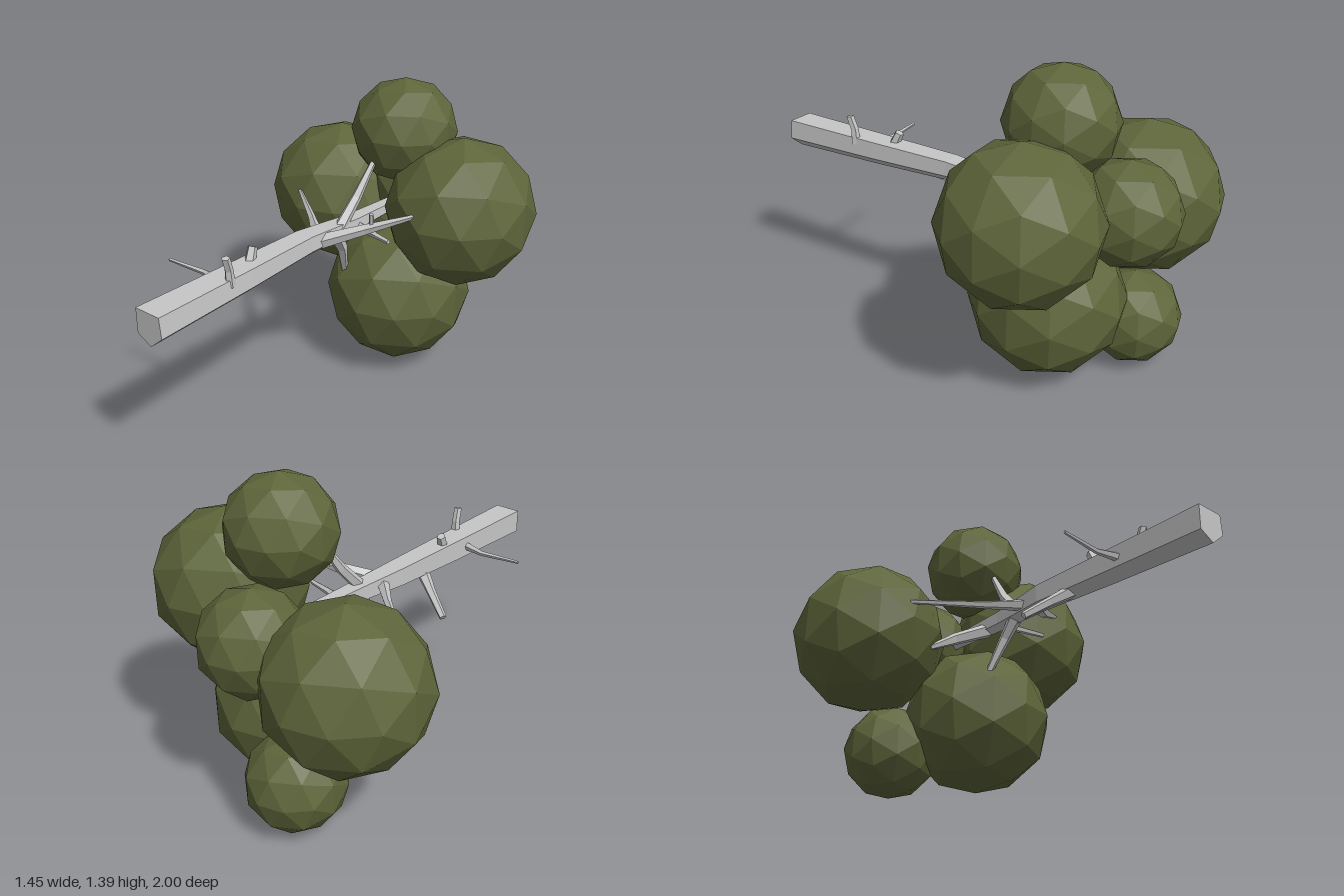
import * as THREE from 'three';

const V = (p) => new THREE.Vector3(...p);

// Faceted limb: one cross-section swept along points, scaled at each point
function loft(path, scales, ring) {
  const pts = path.map(V);
  const dir = pts[pts.length - 1].clone().sub(pts[0]).normalize();
  const up = Math.abs(dir.y) > 0.8 ? V([0, 0, 1]) : V([0, 1, 0]);
  const u = up.cross(dir).normalize();
  const v = dir.clone().cross(u);
  const n = ring.length;
  const at = (k, i) => pts[k].clone()
    .addScaledVector(u, ring[i % n][0] * scales[k])
    .addScaledVector(v, ring[i % n][1] * scales[k]);
  const last = pts.length - 1;
  const verts = [];
  for (let i = 0; i < n; i++) {
    for (let k = 0; k < last; k++) {
      const a0 = at(k, i), b0 = at(k, i + 1), a1 = at(k + 1, i), b1 = at(k + 1, i + 1);
      verts.push(a0, b0, b1, a0, b1, a1);
    }
    verts.push(pts[0], at(0, i + 1), at(0, i));
    verts.push(pts[last], at(last, i), at(last, i + 1));
  }
  const geo = new THREE.BufferGeometry().setFromPoints(verts);
  geo.computeVertexNormals();
  return geo;
}

export function createModel() {
  const model = new THREE.Group();
  model.name = 'fallenTree';
  const bark = new THREE.MeshStandardMaterial({ color: 0xc6c6c6 });
  bark.name = 'pale grey bark';
  const leaf = new THREE.MeshStandardMaterial({ color: 0x5e653a });
  leaf.name = 'olive leaves';

  const add = (name, geo, mat) => {
    const mesh = new THREE.Mesh(geo, mat);
    mesh.name = name;
    model.add(mesh);
    return mesh;
  };

  // Trunk lying along z, flat on top and keeled below
  const trunkRing = [[0.065, 0.068], [-0.062, 0.068], [-0.07, -0.02], [-0.005, -0.075], [0.065, -0.04]];
  add('trunk', loft(
    [[0.01, 0.755, 1], [0.005, 0.76, 0.5], [0.0, 0.767, 0.1], [0.02, 0.765, -0.2], [0.03, 0.77, -0.65]],
    [1, 0.88, 0.75, 0.55, 0.35], trunkRing), bark);

  // Branches: path, then radius at each point
  const twigRing = Array.from({ length: 5 }, (_, i) => {
    const a = (i / 5) * Math.PI * 2 + 0.3;
    return [Math.cos(a), Math.sin(a)];
  });
  const branches = {
    topStub: [[[-0.01, 0.79, 0.44], [-0.02, 0.865, 0.405]], [0.026, 0.021]],
    topTwig: [[[0.05, 0.79, 0.61], [0.05, 0.86, 0.615], [0.055, 0.92, 0.635]], [0.022, 0.018, 0.018]],
    sideTwig: [[[-0.02, 0.77, 0.58], [-0.15, 0.765, 0.557], [-0.34, 0.77, 0.572]], [0.022, 0.012, 0.007]],
    lowerTwig: [[[-0.01, 0.735, 0.28], [-0.1, 0.67, 0.235], [-0.205, 0.59, 0.19]], [0.032, 0.022, 0.017]],
    lowerBranch: [[[0.01, 0.75, -0.1], [0, 0.66, -0.16], [-0.04, 0.48, -0.24]], [0.034, 0.026, 0.014]],
    rearBranch: [[[0.02, 0.755, -0.3], [-0.13, 0.685, -0.36], [-0.25, 0.615, -0.38]], [0.035, 0.028, 0.012]],
    rightBranch: [[[0.03, 0.768, 0.03], [0.18, 0.825, -0.09], [0.39, 0.91, -0.22]], [0.034, 0.024, 0.008]],
    rightSpur: [[[0.2, 0.83, -0.11], [0.205, 0.9, -0.1]], [0.013, 0.01]],
    rightTwig: [[[0.02, 0.76, -0.23], [0.12, 0.76, -0.2], [0.25, 0.757, -0.17]], [0.024, 0.016, 0.011]],
    upperBranch: [[[0.03, 0.78, -0.1], [0.04, 0.9, -0.21], [0.06, 1.075, -0.33]], [0.03, 0.024, 0.012]],
    leftBranch: [[[0, 0.77, 0.01], [-0.15, 0.772, -0.13], [-0.4, 0.78, -0.34]], [0.03, 0.018, 0.01]],
  };
  for (const [name, [path, radii]] of Object.entries(branches)) {
    add(name, loft(path, radii, twigRing), bark);
  }

  // Foliage: faceted balls with their poles along the trunk
  const crown = [
    ['leftFoliage', 0.40, 0.84, -0.505, 0.338],
    ['rightFoliage', -0.395, 0.70, -0.655, 0.348],
    ['lowerFoliage', 0.105, 0.37, -0.47, 0.34],
    ['upperFoliage', 0.09, 1.155, -0.495, 0.24],
    ['smallLowerFoliage', -0.185, 0.22, -0.735, 0.215],
    ['rearFoliage', -0.005, 0.795, -0.76, 0.228],
  ];
  for (const [name, x, y, z, r] of crown) {
    const geo = new THREE.IcosahedronGeometry(r, 1);
    geo.rotateX(Math.atan(2 / (1 + Math.sqrt(5)))).rotateZ(Math.PI / 10);
    geo.computeVertexNormals();
    add(name, geo, leaf).position.set(x, y, z);
  }
  return model;
}
